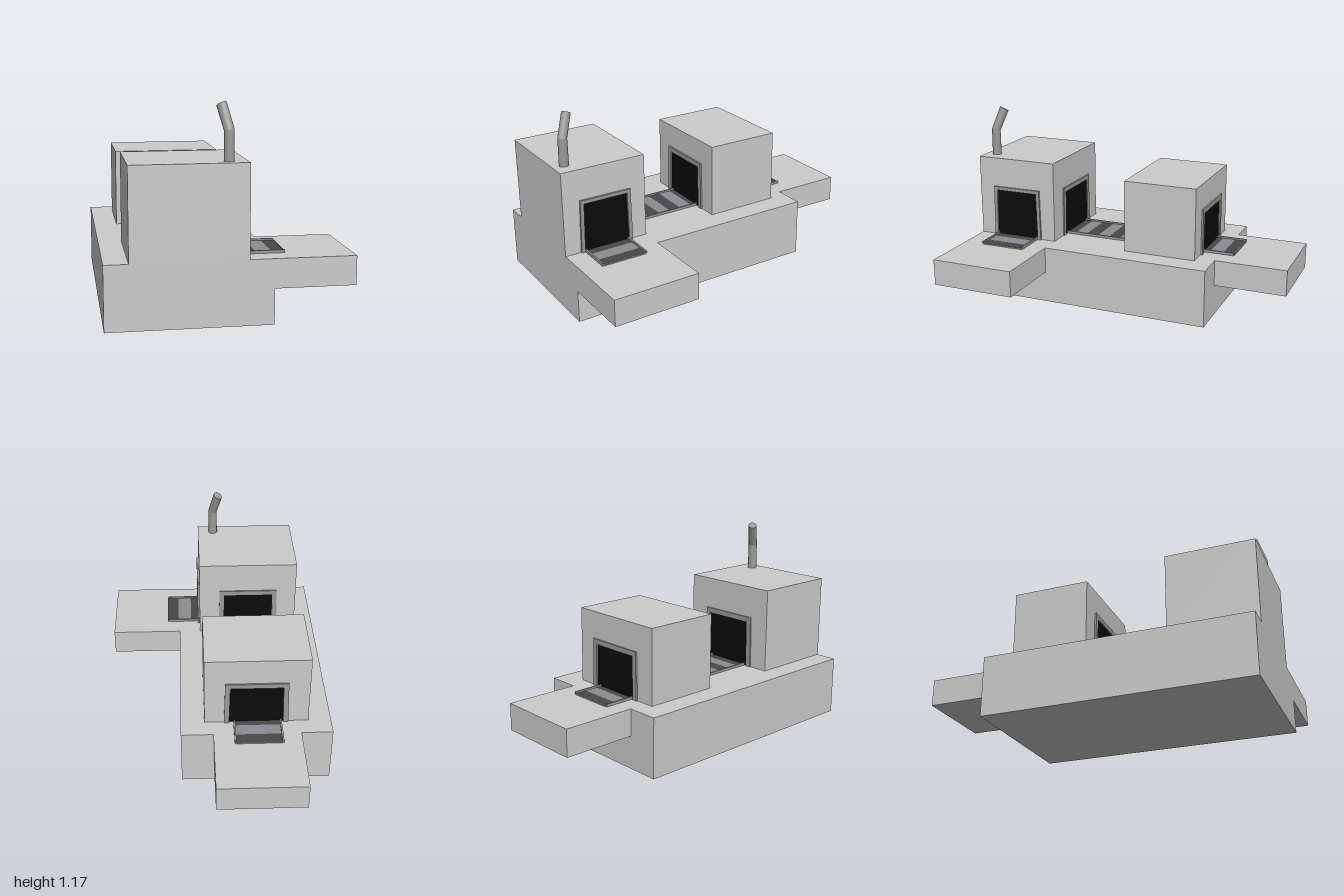
import * as THREE from 'three';

const grey = new THREE.MeshStandardMaterial({ color: 0xcccccc });
const black = new THREE.MeshStandardMaterial({ color: 0x0b0b0b });
const dark = new THREE.MeshStandardMaterial({ color: 0x484848 });
const mid = new THREE.MeshStandardMaterial({ color: 0x8c8c92 });
const steel = new THREE.MeshStandardMaterial({ color: 0x9a9a98 });

const FLOOR = 0.355;

// Box given by its limits on each axis
function block(name, [x0, x1], [y0, y1], [z0, z1], material = grey) {
  const mesh = new THREE.Mesh(new THREE.BoxGeometry(x1 - x0, y1 - y0, z1 - z0), material);
  mesh.position.set((x0 + x1) / 2, (y0 + y1) / 2, (z0 + z1) / 2);
  mesh.name = name;
  return mesh;
}

// Dark doorway with a slightly flared, raised frame; faces local +z
function doorway(name, width, height, rim, depth) {
  const door = new THREE.Group();
  door.name = name;
  const w = width / 2, i = w - rim, top = height - rim, flare = 0.006;
  const arch = new THREE.Shape([
    [-w, 0], [-w + flare, height], [w - flare, height], [w, 0],
    [i, 0], [i - flare, top], [-i + flare, top], [-i, 0],
  ].map(([x, y]) => new THREE.Vector2(x, y)));
  const frame = new THREE.Mesh(new THREE.ExtrudeGeometry(arch, { depth, bevelEnabled: false }), steel);
  frame.name = name + 'Frame';
  door.add(frame, block(name + 'Opening', [-i, i], [0.002, top], [-0.01, 0.002], black));
  return door;
}

// Striped conveyor running along local +z; stops are the stripe boundaries
function conveyor(name, width, stops, openEnd) {
  const belt = new THREE.Group();
  belt.name = name;
  const w = width / 2, rail = 0.01, end = stops[stops.length - 1];
  for (let k = 0; k + 1 < stops.length; k++) {
    belt.add(block(name + 'Stripe', [-w, w], [-0.004, 0.006], [stops[k], stops[k + 1]], k % 2 ? mid : dark));
  }
  for (const s of [-1, 1]) {
    const x = s * (w + rail / 2);
    belt.add(block(name + 'Rail', [x - rail / 2, x + rail / 2], [-0.004, 0.016], [0, end], steel));
  }
  if (openEnd) belt.add(block(name + 'EndRail', [-w, w], [-0.004, 0.008], [end, end + 0.004], steel));
  return belt;
}

function place(part, x, z, turn = 0) {
  part.position.set(x, FLOOR, z);
  part.rotation.y = turn;
  return part;
}

// Bent chimney made of two mitred tubes with a closed top
function chimney() {
  const rings = [
    { c: [-0.008, 0.86, 0.93], tilt: [0, 0] },
    { c: [-0.008, 1.02, 0.93], tilt: [0.12, 0.17] },
    { c: [-0.041, 1.152, 0.884], tilt: [0.25, 0.35] },
  ];
  const n = 20, r = 0.028, group = new THREE.Group();
  group.name = 'chimney';
  const point = ({ c, tilt }, k) => {
    const a = (k / n) * Math.PI * 2, x = Math.cos(a) * r, z = Math.sin(a) * r;
    return [c[0] + x * (1 - tilt[0] * 0.25), c[1] + x * tilt[0] * 1.4 + z * tilt[1], c[2] + z * (1 - tilt[1] * 0.25)];
  };
  const build = (name, positions, indices) => {
    const g = new THREE.BufferGeometry();
    g.setAttribute('position', new THREE.Float32BufferAttribute(positions, 3));
    g.setIndex(indices);
    g.computeVertexNormals();
    const mesh = new THREE.Mesh(g, steel);
    mesh.name = name;
    group.add(mesh);
  };
  for (let s = 0; s < 2; s++) {
    const p = [], idx = [];
    for (let k = 0; k < n; k++) {
      p.push(...point(rings[s], k), ...point(rings[s + 1], k));
      const a = k * 2, b = ((k + 1) % n) * 2;
      idx.push(a, a + 1, b, b, a + 1, b + 1);
    }
    build(s ? 'chimneyTip' : 'chimneyPipe', p, idx);
  }
  const cap = [...rings[2].c], capIdx = [];
  for (let k = 0; k < n; k++) {
    cap.push(...point(rings[2], k));
    capIdx.push(0, ((k + 1) % n) + 1, k + 1);
  }
  build('chimneyCap', cap, capIdx);
  return group;
}

export function createModel() {
  const model = new THREE.Group();
  model.name = 'factory';

  // Foundation with two raised loading platforms
  model.add(
    block('foundation', [-0.665, 0.225], [0, FLOOR], [-0.56, 1]),
    block('sidePlatform', [0.225, 0.665], [0.195, FLOOR], [0.48, 1]),
    block('backPlatform', [-0.48, 0.035], [0.195, FLOOR], [-1, -0.56]),
  );

  // Two halls
  model.add(
    block('frontHall', [-0.535, 0.092], [FLOOR, 0.86], [0.48, 1]),
    block('backHall', [-0.53, 0.085], [FLOOR, 0.8], [-0.45, 0.005]),
  );

  // Doorways
  model.add(
    place(doorway('sideDoor', 0.33, 0.32, 0.022, 0.012), 0.092, 0.738, Math.PI / 2),
    place(doorway('frontHallBackDoor', 0.385, 0.315, 0.03, 0.008), -0.225, 0.48, Math.PI),
    place(doorway('backHallFrontDoor', 0.385, 0.3, 0.03, 0.01), -0.22, 0.005),
    place(doorway('backHallBackDoor', 0.38, 0.285, 0.03, 0.01), -0.22, -0.45, Math.PI),
  );

  // Conveyor belts
  model.add(
    place(conveyor('sideBelt', 0.265, [0, 0.055, 0.14, 0.21], true), 0.095, 0.738, Math.PI / 2),
    place(conveyor('middleBelt', 0.265, [0, 0.035, 0.115, 0.19, 0.265, 0.345, 0.42, 0.475], false), -0.228, 0.005),
    place(conveyor('backBelt', 0.265, [0, 0.04, 0.12, 0.19], true), -0.228, -0.45, Math.PI),
  );

  model.add(chimney());
  return model;
}
